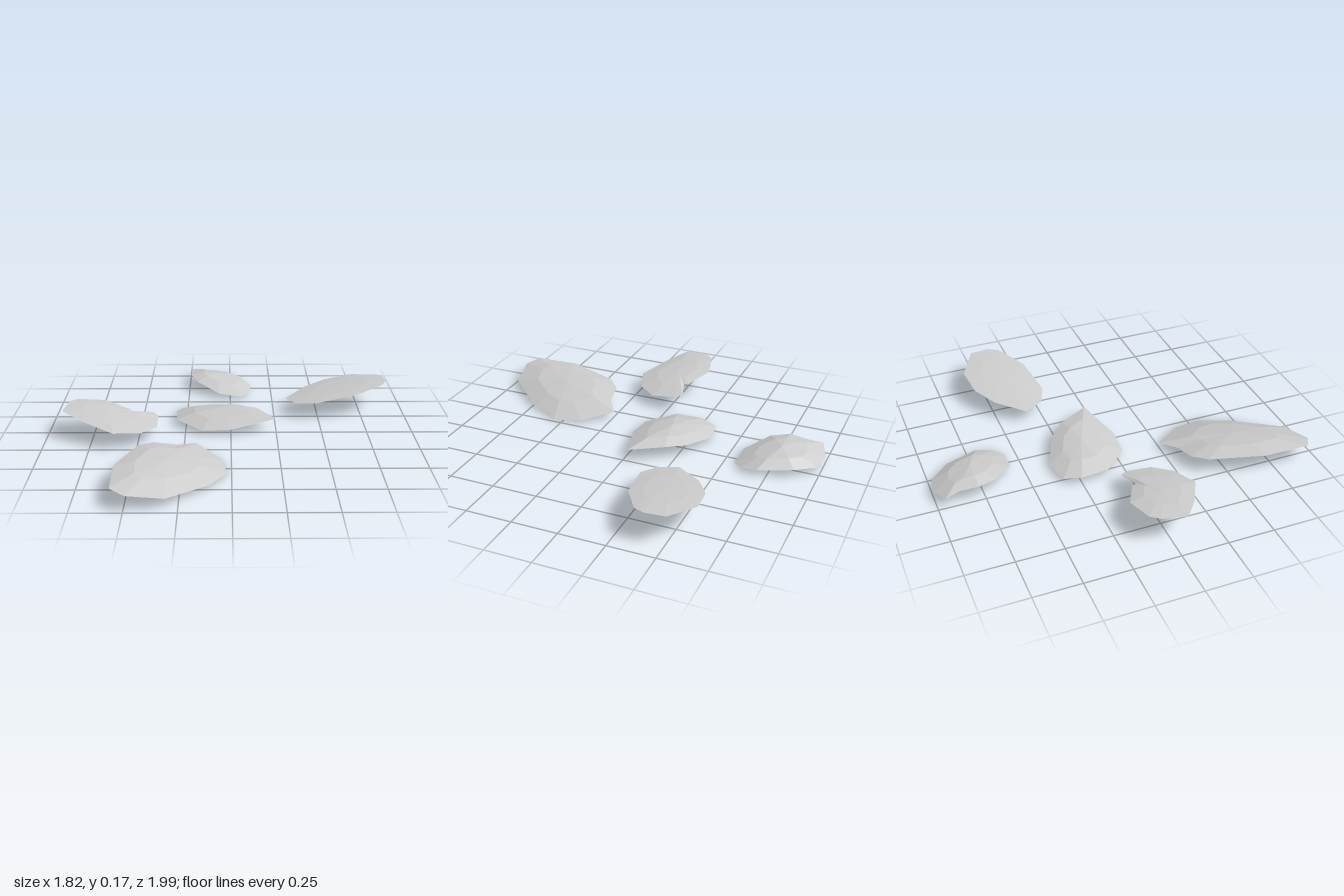
import * as THREE from 'three';

// Closed thin shell. The rim [x, z, ...] runs clockwise from above and lies on a
// tilted, bent sheet; a ring and a crown dome it, with a shallower copy beneath.
function petalGeometry(outline, { cx, cz, h, tiltX = 0, tiltZ = 0, bend = 0, dome, thickness }) {
  const n = outline.length / 2;
  const rim = [];
  for (let i = 0; i < n; i++) {
    const dx = outline[2 * i] - cx;
    const dz = outline[2 * i + 1] - cz;
    rim.push(new THREE.Vector3(cx + dx, h + tiltX * dx + tiltZ * dz - bend * dz * dz, cz + dz));
  }
  const points = [];
  const addSide = (lift, flip) => {
    const crown = new THREE.Vector3(cx, h + lift, cz);
    const ring = rim.map((p) => {
      const q = p.clone().lerp(crown, 0.42);
      q.y += lift * 0.3;
      return q;
    });
    const tri = (a, b, c) => points.push(a, flip ? c : b, flip ? b : c);
    for (let i = 0; i < n; i++) {
      const j = (i + 1) % n;
      tri(rim[i], ring[i], rim[j]);
      tri(rim[j], ring[i], ring[j]);
      tri(crown, ring[j], ring[i]);
    }
  };
  addSide(dome, false);
  addSide(dome - thickness, true);
  const geometry = new THREE.BufferGeometry().setFromPoints(points);
  geometry.computeVertexNormals();
  return geometry;
}

export function createModel() {
  const group = new THREE.Group();
  group.name = 'scatteredPetals';
  const material = new THREE.MeshStandardMaterial({
    color: 0xcccccc, flatShading: true, side: THREE.DoubleSide });
  const addPetal = (name, outline, form) => {
    const mesh = new THREE.Mesh(petalGeometry(outline, form), material);
    mesh.name = name;
    group.add(mesh);
  };

  // Arched petal at the back
  addPetal('backPetal',
    [-0.25, -0.96, -0.14, -1, -0.03, -0.98, 0.06, -0.88, 0.13, -0.7, 0.11, -0.61,
      0.06, -0.56, -0.07, -0.57, -0.2, -0.68, -0.24, -0.78, -0.23, -0.88],
    { cx: -0.06, cz: -0.78, h: 0.06, tiltX: -0.12, bend: 0.7, dome: 0.035, thickness: 0.025 });

  // Pointed petal in the middle
  addPetal('middlePetal',
    [-0.13, -0.37, 0.06, -0.29, 0.15, -0.2, 0.25, -0.03, 0, 0.05, -0.16, 0.04,
      -0.3, -0.1, -0.31, -0.25, -0.27, -0.34],
    { cx: -0.06, cz: -0.16, h: 0.058, tiltX: 0.07, bend: 0.6, dome: 0.034, thickness: 0.025 });

  // Nearly flat petal rising outwards
  addPetal('leftPetal',
    [0.32, -0.35, 0.44, -0.5, 0.57, -0.58, 0.73, -0.6, 0.9, -0.51, 0.91, -0.4,
      0.88, -0.34, 0.72, -0.24, 0.48, -0.2, 0.375, -0.245],
    { cx: 0.64, cz: -0.4, h: 0.125, tiltX: 0.152, tiltZ: -0.02, dome: 0.013, thickness: 0.014 });

  // Notched petal rising outwards
  addPetal('rightPetal',
    [-0.91, 0.07, -0.89, -0.06, -0.85, -0.11, -0.7, -0.145, -0.55, -0.07, -0.54, -0.045,
      -0.43, -0.08, -0.4, -0.04, -0.4, 0.1, -0.48, 0.2, -0.62, 0.25, -0.79, 0.16],
    { cx: -0.66, cz: 0.04, h: 0.118, tiltX: -0.155, tiltZ: -0.09, dome: 0.02, thickness: 0.02 });

  // Large petal at the front
  addPetal('frontPetal',
    [-0.18, 0.245, -0.05, 0.4, -0.02, 0.555, -0.11, 0.73, -0.31, 0.95, -0.49, 0.99,
      -0.565, 0.94, -0.57, 0.69, -0.475, 0.4, -0.4, 0.33, -0.275, 0.31],
    { cx: -0.32, cz: 0.62, h: 0.057, tiltX: -0.19, tiltZ: -0.02, dome: 0.045, thickness: 0.03 });

  return group;
}
